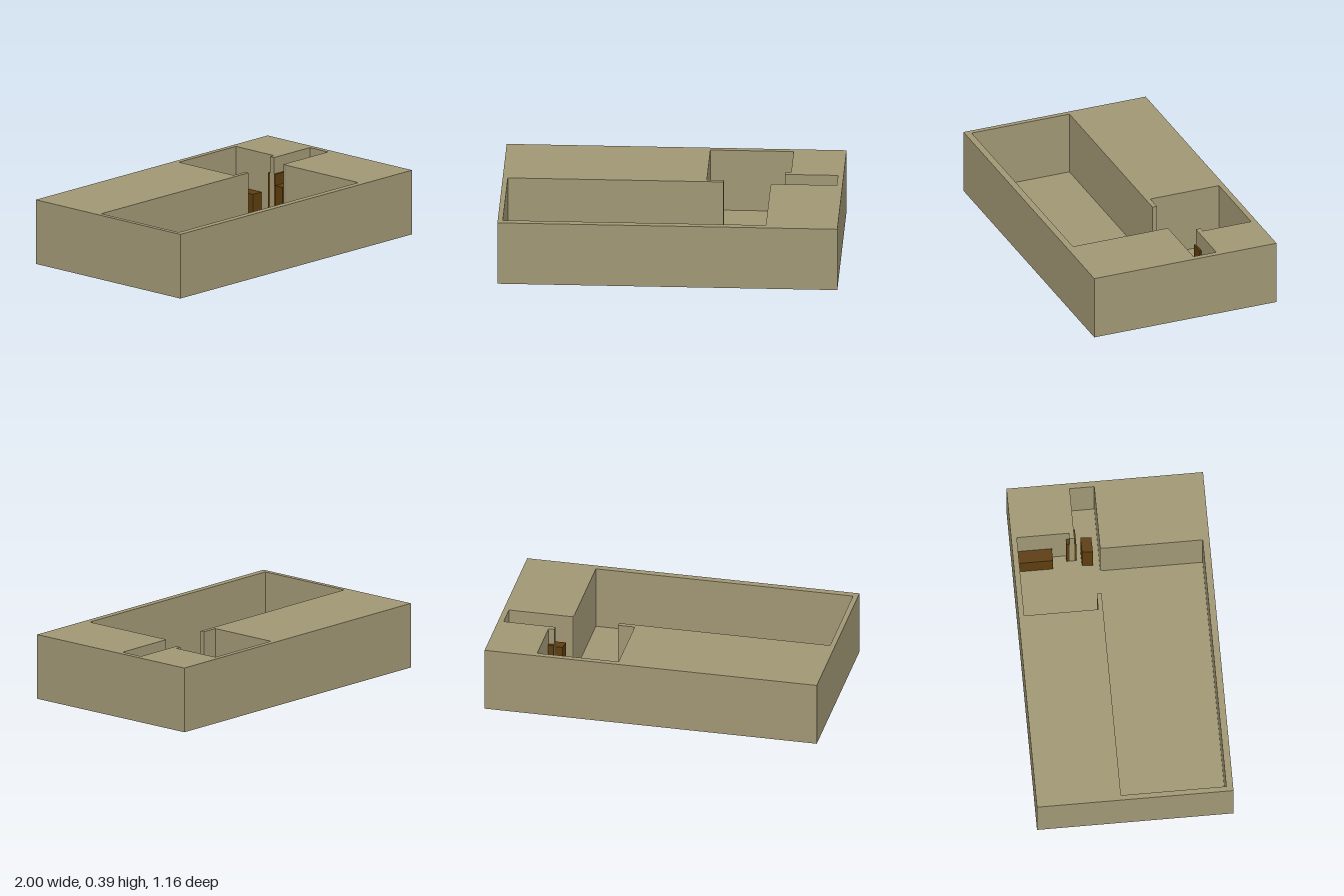
import * as THREE from 'three';

const HEIGHT = 0.39, FLOOR = 0.006;

// Upright prism from a plan outline given as [x, z] corners
function prism(name, plan, y0, y1, material, hole) {
  const toPoints = (list) => list.map(([x, z]) => new THREE.Vector2(x, -z));
  const shape = new THREE.Shape(toPoints(plan));
  // The hole runs against the outline so that its walls face into the rooms
  if (hole) shape.holes.push(new THREE.Path(toPoints(hole).reverse()));
  const geometry = new THREE.ExtrudeGeometry(shape, { depth: y1 - y0, bevelEnabled: false });
  geometry.rotateX(-Math.PI / 2);
  geometry.translate(0, y0, 0);
  const mesh = new THREE.Mesh(geometry, material);
  mesh.name = name;
  return mesh;
}

const rect = (x0, x1, z0, z1) => [[x0, z0], [x1, z0], [x1, z1], [x0, z1]];

export function createModel() {
  const group = new THREE.Group();
  group.name = 'roomBlock';
  const plaster = new THREE.MeshStandardMaterial({ color: 0xa19775 });
  const wood = new THREE.MeshStandardMaterial({ color: 0x5d3d0e });

  // Connected rooms: main hall, back room and side corridor
  const rooms = [
    [0.2, -0.547], [0.69, -0.547], [0.69, -0.24], [0.655, -0.24], [0.655, -0.21],
    [0.967, -0.21], [0.967, -0.065], [0.583, -0.065], [0.578, -0.04], [0.578, 0.54],
    [-0.97, 0.54], [-0.97, -0.082], [0.3, -0.082], [0.3, -0.11], [0.2, -0.11],
  ];
  const outer = rect(-1, 1, -0.58, 0.58);
  group.add(prism('walls', outer, FLOOR, HEIGHT, plaster, rooms));
  group.add(prism('floor', outer, 0, FLOOR, plaster));

  // Wooden furniture standing on the floor
  group.add(prism('counter', rect(0.615, 0.69, -0.547, -0.34), FLOOR, 0.15, wood));
  group.add(prism('cabinet',
    [[0.622, -0.168], [0.714, -0.17], [0.708, -0.106], [0.616, -0.104]], FLOOR, 0.235, wood));

  // Slim panels on both sides of the wall stub
  group.add(prism('backPanel', rect(0.655, 0.69, -0.257, -0.24), FLOOR, 0.29, wood));
  group.add(prism('corridorPanel', rect(0.655, 0.745, -0.21, -0.199), FLOOR, 0.29, wood));

  return group;
}
